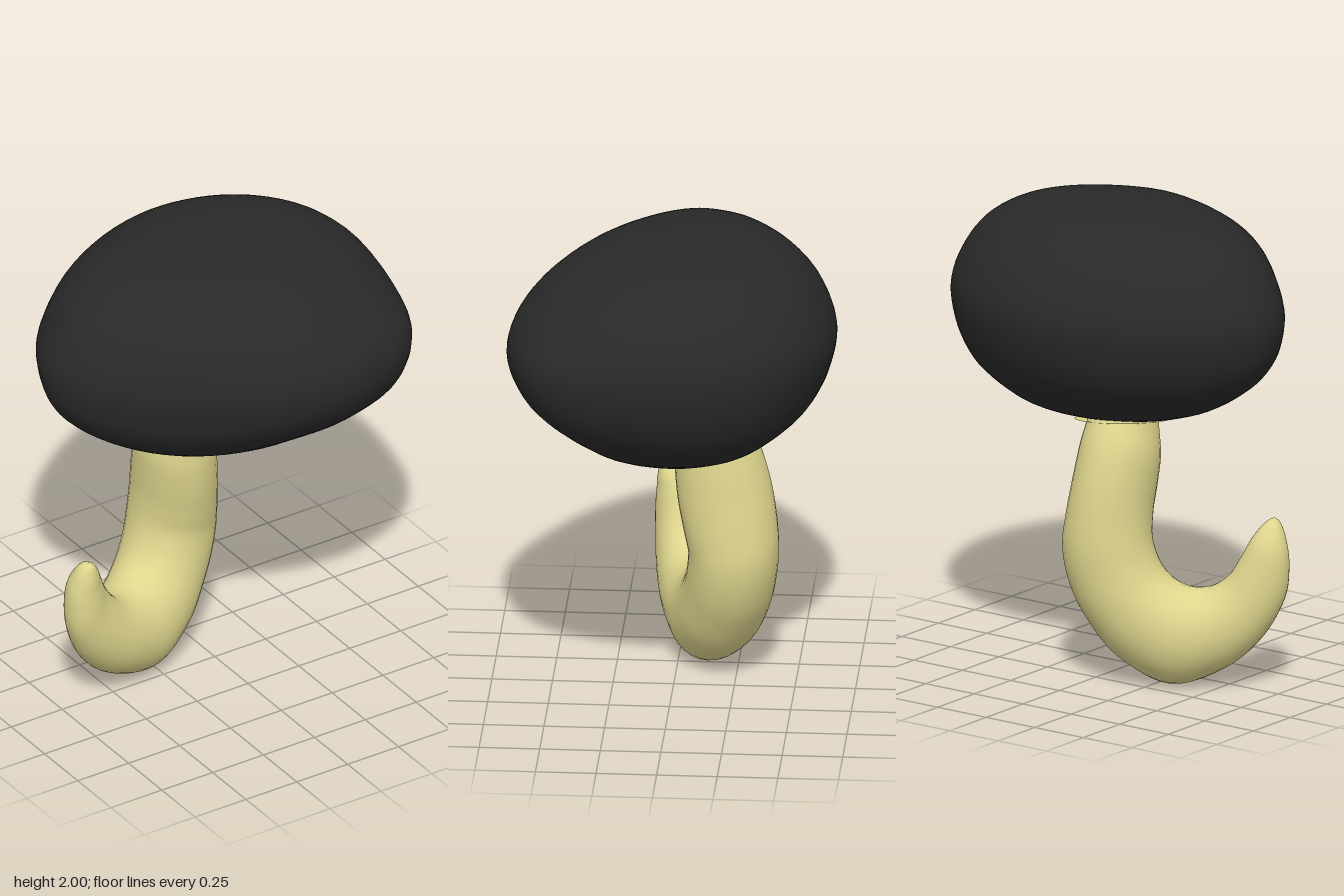
import * as THREE from 'three';

const V = (x, y, z) => new THREE.Vector3(x, y, z);
const spline = (pts, closed = false) => new THREE.CatmullRomCurve3(pts, closed, 'catmullrom', 0.5);
const { mapLinear, smoothstep } = THREE.MathUtils;

// Smooth skin over a list of closed rings with equal point counts
function skin(rings) {
  const n = rings[0].length, index = [];
  for (let i = 0; i < rings.length - 1; i++) {
    for (let j = 0; j < n; j++) {
      const a = i * n + j, b = i * n + (j + 1) % n;
      index.push(a, b, a + n, b, b + n, a + n);
    }
  }
  const g = new THREE.BufferGeometry().setFromPoints(rings.flat());
  g.setIndex(index);
  g.computeVertexNormals();
  return g;
}

// Rounded body: a footprint fitted to the extents of each level, softened towards top and bottom
function bodyGeometry() {
  const footprint = spline([
    [-.76, -.08], [-.735, -.2], [-.66, -.33], [-.53, -.455], [-.36, -.565], [-.17, -.645], [.04, -.677],
    [.26, -.65], [.45, -.57], [.6, -.445], [.69, -.3], [.74, -.14], [.76, .03], [.737, .245],
    [.675, .45], [.55, .58], [.37, .65], [.225, .67], [.02, .64], [-.2, .535], [-.43, .385],
    [-.61, .22], [-.72, .07],
  ].map(([x, z]) => V(x / .76, 0, z / .675)), true).getPoints(72).slice(0, -1);
  // y, x min, x max, z min, z max
  const levels = [
    [2.0, .03, .03, -.17, -.17], [1.99, -.19, .25, -.28, .03], [1.97, -.31, .41, -.38, .18],
    [1.94, -.44, .51, -.45, .33], [1.88, -.57, .62, -.535, .47], [1.8, -.665, .695, -.605, .57],
    [1.7, -.725, .745, -.655, .645], [1.6, -.76, .76, -.675, .675], [1.5, -.755, .75, -.66, .665],
    [1.4, -.72, .718, -.625, .615], [1.3, -.64, .658, -.56, .51], [1.2, -.495, .55, -.45, .375],
    [1.14, -.35, .445, -.355, .28], [1.1, -.2, .33, -.22, .19], [1.075, .07, .07, .02, .02],
  ];
  const xs = spline(levels.map(l => V(l[1], l[0], l[2])));
  const zs = spline(levels.map(l => V(l[3], l[0], l[4])));
  const rings = [], steps = 56;
  for (let i = 0; i <= steps; i++) {
    const a = xs.getPoint(i / steps), b = zs.getPoint(i / steps);
    const top = smoothstep(a.y, 1.6, 1.95), bottom = 1 - smoothstep(a.y, 1.15, 1.5);
    rings.push(footprint.map(p => {
      // corners outside the ellipse shrink near the top, flats inside it swell
      const amount = p.length() > 1 ? top : 0.3 * top + 0.6 * bottom;
      const q = p.clone().lerp(p.clone().normalize(), amount);
      return V(mapLinear(q.x, -1, 1, a.x, a.z), a.y, mapLinear(q.z, -1, 1, b.x, b.z));
    }));
  }
  return skin(rings);
}

// Hooked stalk: elliptical rings strung between the inner and outer edges of the bend
function stalkGeometry() {
  // inner x, y, outer x, y, centre z, radius across the bend, z lean of the outer edge
  const stations = [
    [-.2, 1.2, .06, 1.2, -.15, .14, 0], [-.212, 1.1, .07, 1.1, -.155, .155, 0],
    [-.235, .98, .088, .98, -.18, .183, -.01], [-.233, .86, .104, .83, -.205, .196, -.02],
    [-.228, .745, .12, .685, -.228, .195, -.03], [-.235, .64, .128, .55, -.243, .188, -.03],
    [-.253, .555, .1, .41, -.235, .185, -.03], [-.285, .487, .04, .275, -.215, .184, -.02],
    [-.33, .442, -.08, .11, -.175, .182, 0], [-.388, .418, -.285, .003, -.115, .173, .01],
    [-.45, .425, -.5, .08, -.048, .148, .02], [-.515, .475, -.645, .218, 0, .118, .03],
    [-.57, .555, -.727, .39, .028, .092, .05], [-.61, .635, -.737, .53, .045, .077, .05],
    [-.632, .685, -.717, .64, .064, .055, .035], [-.65, .715, -.694, .705, .077, .03, .015],
    [-.672, .727, -.672, .727, .08, 0, 0],
  ];
  const inner = spline(stations.map(s => V(s[0], s[1], s[4] - s[6])));
  const outer = spline(stations.map(s => V(s[2], s[3], s[4] + s[6])));
  const path = spline(stations.map(s => V((s[0] + s[2]) / 2, (s[1] + s[3]) / 2, s[4])));
  const across = spline(stations.map(s => V(s[5], 0, 0)));
  const rings = [], steps = 80, sides = 32;
  for (let i = 0; i <= steps; i++) {
    const t = i / steps, c = path.getPoint(t);
    const N = outer.getPoint(t).sub(inner.getPoint(t)).multiplyScalar(0.5);
    const B = path.getTangent(t).cross(N).normalize().multiplyScalar(across.getPoint(t).x);
    rings.push(Array.from({ length: sides }, (_, j) => {
      const k = j / sides * Math.PI * 2;
      return c.clone().addScaledVector(N, Math.cos(k)).addScaledVector(B, Math.sin(k));
    }));
  }
  return skin(rings);
}

// Thin collar following the underside of the body around the stalk
function collarGeometry() {
  const g = new THREE.RingGeometry(0.08, 0.205, 40, 5).rotateX(Math.PI / 2);
  const p = g.attributes.position;
  for (let i = 0; i < p.count; i++) {
    const x = p.getX(i), z = p.getZ(i);
    p.setXYZ(i, x - .07, 1.082 + .45 * (x * x + z * z) - .105 * x - .13 * z, z - .15);
  }
  g.computeVertexNormals();
  return g;
}

export function createModel() {
  const black = new THREE.MeshStandardMaterial({ color: 0x292929 });
  black.name = 'charcoal';
  const straw = new THREE.MeshStandardMaterial({ color: 0xded58d, side: THREE.DoubleSide });
  straw.name = 'straw';

  const model = new THREE.Group();
  model.name = 'hookedSprout';
  const add = (name, geometry, material) => {
    const mesh = new THREE.Mesh(geometry, material);
    mesh.name = name;
    model.add(mesh);
  };
  add('body', bodyGeometry(), black);
  add('stalk', stalkGeometry(), straw);
  add('collar', collarGeometry(), straw);
  return model;
}
